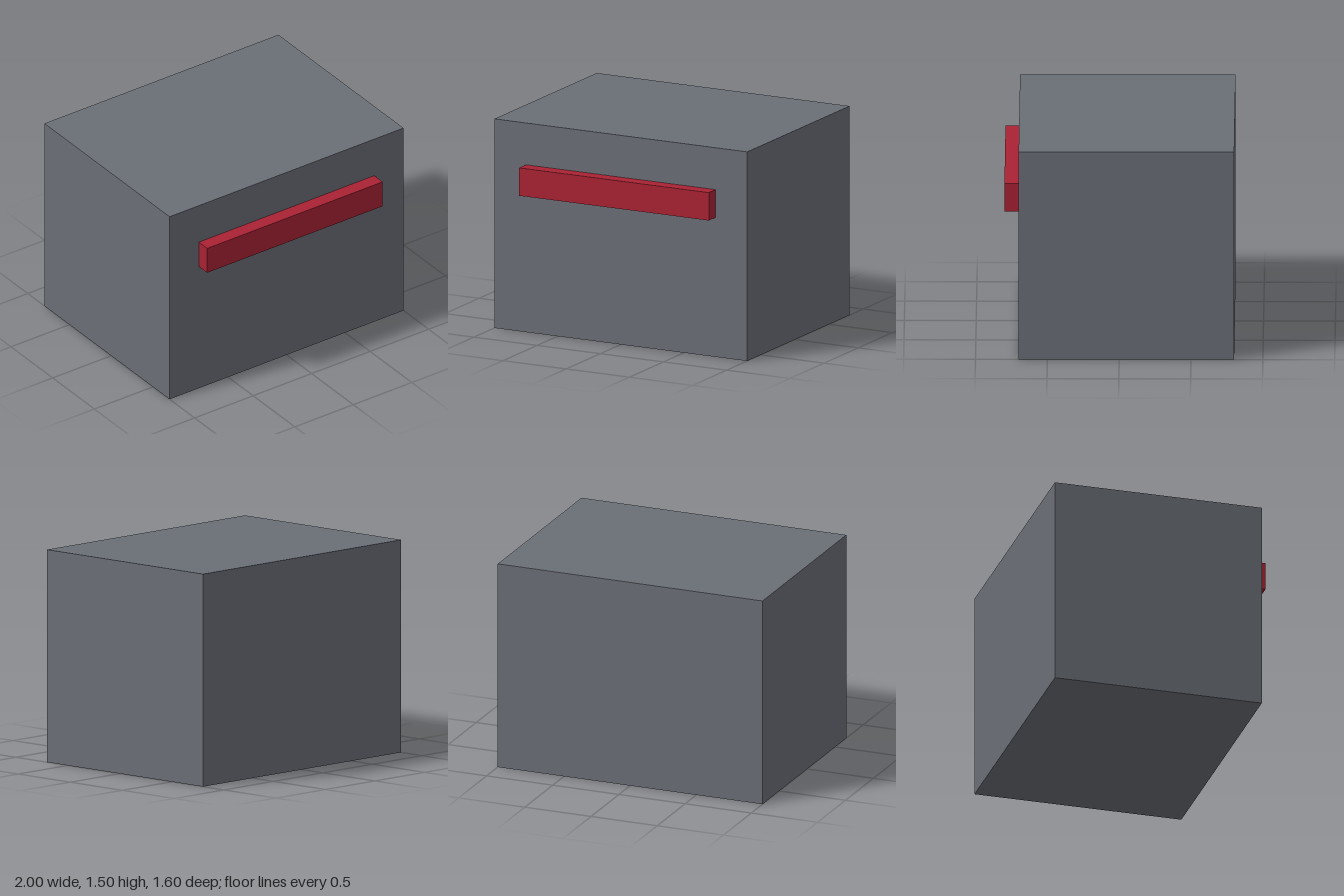
import * as THREE from 'three';

// Box mesh spanning the given min and max corners
function box(name, color, min, max) {
  const size = max.map((v, i) => v - min[i]);
  const mesh = new THREE.Mesh(
    new THREE.BoxGeometry(...size),
    new THREE.MeshStandardMaterial({ color })
  );
  mesh.position.set(...max.map((v, i) => (v + min[i]) / 2));
  mesh.name = name;
  return mesh;
}

export function createModel() {
  const model = new THREE.Group();
  model.name = 'boxWithFrontBar';

  // Main block
  model.add(box('body', 0x6a6e76, [-1, 0, -0.8], [1, 1.5, 0.7]));

  // Red bar across the front face
  model.add(box('frontBar', 0xaa2233, [-0.75, 1, 0.7], [0.75, 1.2, 0.8]));

  return model;
}
